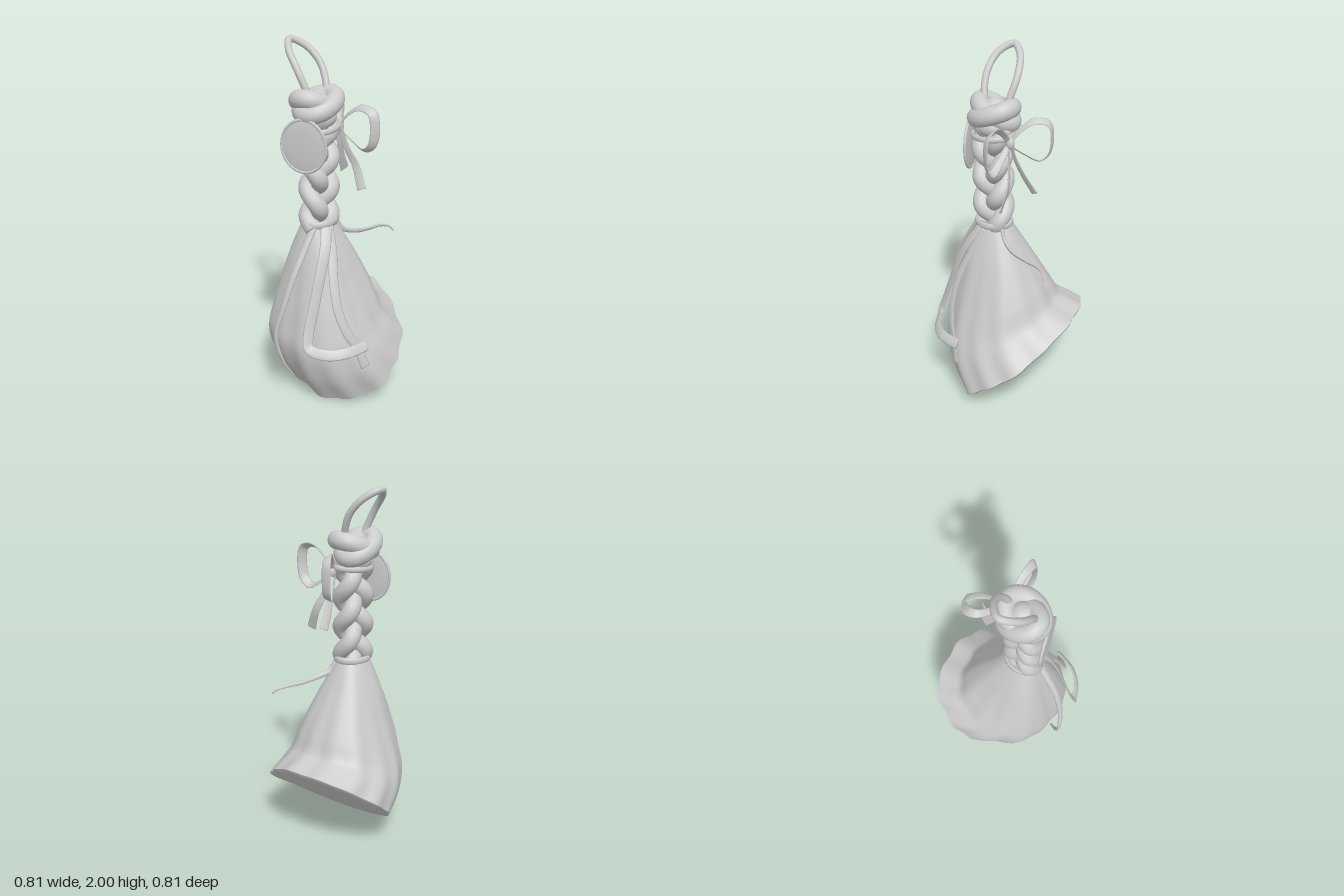
import * as THREE from 'three';

const V = (x, y, z) => new THREE.Vector3(x, y, z);
const pts = (list) => list.map((p) => V(...p));
const material = new THREE.MeshStandardMaterial({ color: 0xcccccc, side: THREE.DoubleSide });

// Skin a list of rings (equal point counts) into a smooth surface.
function skin(rings, loop = false) {
  const n = rings[0].length, m = rings.length, index = [];
  for (let i = 0; i < (loop ? m : m - 1); i++) {
    for (let j = 0; j < n; j++) {
      const k = (j + 1) % n, i2 = (i + 1) % m;
      const a = i * n + j, b = i * n + k, c = i2 * n + j, d = i2 * n + k;
      index.push(a, b, c, b, d, c);
    }
  }
  const geo = new THREE.BufferGeometry().setFromPoints(rings.flat());
  geo.setIndex(index);
  geo.computeVertexNormals();
  return geo;
}

// Sweep an elliptical section along a curve; `up` is the wide axis, optionally turning to `up2`.
function sweep(points, { wide, thick = wide, up = V(0, 0, 1), up2 = up, roll = 0, loop = false, taper = () => 1, steps = 48, sides = 10 }) {
  const curve = new THREE.CatmullRomCurve3(points, loop);
  const rings = [];
  const ring = (t, scale) => {
    const c = curve.getPoint(t), T = curve.getTangent(t);
    const s = up.clone().lerp(up2, THREE.MathUtils.smoothstep(t, 0.45, 0.75));
    s.addScaledVector(T, -s.dot(T)).normalize().applyAxisAngle(T, roll);
    const nrm = T.clone().cross(s);
    return Array.from({ length: sides }, (_, j) => {
      const a = (j / sides) * Math.PI * 2;
      return c.clone().addScaledVector(s, Math.cos(a) * wide * scale).addScaledVector(nrm, Math.sin(a) * thick * scale);
    });
  };
  for (let i = 0; i < (loop ? steps : steps + 1); i++) rings.push(ring(i / steps, taper(i / steps)));
  if (!loop) {
    rings.unshift(ring(0, 0));
    rings.push(ring(1, 0));
  }
  return skin(rings, loop);
}

export function createModel() {
  const model = new THREE.Group();
  const add = (name, geo, parent = model) => {
    const mesh = new THREE.Mesh(geo, material);
    mesh.name = name;
    parent.add(mesh);
    return mesh;
  };
  const group = (name) => {
    const g = new THREE.Group();
    g.name = name;
    model.add(g);
    return g;
  };

  // Skirt sections: left x, left y, right x, right y, half depth
  const sections = [
    [-0.175, 1.03, 0.015, 1.03, 0.075], [-0.22, 0.87, 0.092, 0.885, 0.142], [-0.27, 0.66, 0.165, 0.755, 0.208],
    [-0.31, 0.46, 0.22, 0.65, 0.27], [-0.322, 0.33, 0.265, 0.56, 0.318], [-0.275, 0.17, 0.315, 0.53, 0.367],
    [-0.185, 0.02, 0.4, 0.5, 0.402],
  ];
  const leftEdge = new THREE.CatmullRomCurve3(sections.map((s) => V(s[0], s[1], s[4])));
  const rightEdge = new THREE.CatmullRomCurve3(sections.map((s) => V(s[2], s[3], s[4])));
  const skirtRing = (t, shrink = 1, lift = 0) => {
    const l = leftEdge.getPoint(t), r = rightEdge.getPoint(t), mid = l.clone().add(r).multiplyScalar(0.5);
    return Array.from({ length: 104 }, (_, j) => {
      const a = (j / 104) * Math.PI * 2, diag = Math.sin(2 * a);
      // fuller shoulders, a skewed hem and soft folds
      const full = 0.09 * Math.sin(Math.PI * Math.sqrt(t)) * diag * diag - 0.03 * t * t * diag;
      const fold = 1 + full + t ** 0.8 * (0.02 * Math.cos(13 * a) + 0.013 * Math.sin(7 * a + 1));
      const c = Math.cos(a) * fold * shrink, s = Math.sin(a) * fold * shrink;
      const sag = t * t * (0.07 * s + 0.03 * Math.max(0, diag) * Math.max(0, s));
      return V(mid.x + (r.x - l.x) * 0.5 * c - lift * 0.6, mid.y + (r.y - l.y) * 0.5 * c - sag + lift, s * l.z);
    });
  };
  add('skirt', skin(Array.from({ length: 41 }, (_, i) => skirtRing(i / 40))));
  // Underside, swelling slightly below the hem
  add('skirtUnderside', skin([[1, 0], [0.97, -0.008], [0.9, -0.012], [0.6, -0.016], [0.3, -0.018], [0, -0.018]].map(([s, h]) => skirtRing(1, s, h))));

  // Three-strand braid
  const braid = group('braid');
  for (let k = 0; k < 3; k++) {
    const path = Array.from({ length: 29 }, (_, i) => {
      const t = i / 28, a = t * Math.PI * 2 * 1.3 + (k * Math.PI * 2) / 3 + 0.26;
      return V(-0.083 + 0.068 * Math.sin(a), 1.0 + 0.63 * t, 0.008 + 0.038 * Math.sin(2 * a));
    });
    add('braidStrand', sweep(path, { wide: 0.048, thick: 0.046, up: V(1, 0, 0.2), steps: 80, sides: 14 }), braid);
  }

  // Top knot: a front coil rising to the left, a second crossing behind it, round a core
  const knot = group('topKnot');
  const coil = (name, [x0, y, z0], slopeX, slopeZ, rx, rz, thick) => {
    const path = Array.from({ length: 16 }, (_, i) => {
      const a = (i / 16) * Math.PI * 2, x = Math.cos(a) * rx, z = Math.sin(a) * rz;
      return V(x0 + x, y + slopeX * x + slopeZ * z, z0 + z);
    });
    add(name, sweep(path, { wide: thick, up: V(0, 1, 0), loop: true, steps: 64, sides: 16 }), knot);
  };
  coil('frontCoil', [-0.08, 1.667, 0.002], 0.4, 0, 0.097, 0.08, 0.05);
  coil('crossingCoil', [-0.087, 1.663, -0.025], -0.5, 0.15, 0.09, 0.07, 0.05);
  coil('lowerCoil', [-0.08, 1.595, 0], 0.1, 0.1, 0.05, 0.05, 0.048);
  const core = add('knotCore', new THREE.SphereGeometry(0.07, 24, 16), knot);
  core.position.set(-0.08, 1.675, -0.01);

  // Hanging loop
  add('hangingLoop', sweep(pts([
    [-0.13, 1.68, 0], [-0.155, 1.76, -0.02], [-0.166, 1.86, -0.07], [-0.145, 1.94, -0.14], [-0.08, 1.98, -0.19],
    [-0.012, 1.94, -0.14], [0.016, 1.86, -0.07], [0.005, 1.76, -0.02], [-0.02, 1.68, 0],
  ]), { wide: 0.019, up: V(0, 0.6, 1), steps: 60 }));

  // Flat ties round the braid
  const band = (name, y, rx, rz, tilt, width) => add(name, sweep(
    Array.from({ length: 16 }, (_, i) => {
      const a = (i / 16) * Math.PI * 2;
      return V(-0.08 + rx * Math.cos(a), y + tilt * Math.cos(a), 0.01 + rz * Math.sin(a));
    }), { wide: width, thick: 0.01, up: V(0, 1, 0), loop: true, steps: 64 }));
  band('upperTie', 1.55, 0.115, 0.095, 0.01, 0.016);
  band('neckTie', 1.035, 0.102, 0.083, 0.005, 0.02);

  // Bow on the left side of the braid
  const bow = group('bow');
  const bowLoop = (dx, dz, roll) => {
    const len = Math.hypot(dx, dz), outline = [[0, 0], [0.25, 0.07], [0.6, 0.118], [0.92, 0.1], [1, 0.03], [0.93, -0.07], [0.72, -0.105], [0.35, -0.065], [0, -0.01]];
    const path = outline.map(([u, y]) => V(0.04 + dx * u, 1.535 + y, 0.04 + dz * u));
    add('bowLoop', sweep(path, {
      wide: 0.027, thick: 0.005, up: V(-dz / len, 0, dx / len), roll, taper: (t) => 0.45 + 0.55 * Math.sin(Math.PI * t), steps: 60,
    }), bow);
  };
  bowLoop(0.172, -0.14, 0.45);
  bowLoop(0.01, 0.232, 0.65);
  const tail = (list, up) => add('bowTail', sweep(pts(list), { wide: 0.027, thick: 0.004, up, taper: (t) => 0.5 + 0.5 * t }), bow);
  tail([[0.04, 1.53, 0.05], [0.06, 1.42, 0.075], [0.085, 1.32, 0.12], [0.072, 1.2, 0.175]], V(0.3, 0.2, 1));
  tail([[0.04, 1.53, 0.03], [0.07, 1.43, 0.02], [0.11, 1.34, 0], [0.16, 1.255, -0.02]], V(0.8, 0.5, 0.3));
  const bowKnot = add('bowKnot', new THREE.SphereGeometry(0.028, 16, 12), bow);
  bowKnot.scale.set(0.8, 1.2, 0.8);
  bowKnot.position.set(0.045, 1.535, 0.04);

  // Oval disc with a raised rim on the right side of the braid
  const disc = group('ovalDisc');
  const face = add('discFace', new THREE.SphereGeometry(1, 32, 16), disc);
  face.scale.set(0.125, 0.14, 0.012);
  const rim = add('discRim', new THREE.TorusGeometry(0.123, 0.008, 10, 40), disc);
  rim.scale.set(1, 1.13, 1);
  disc.position.set(-0.215, 1.475, 0.02);
  disc.rotation.y = -1.24;

  // Loose ends trailing from the neck tie
  const ends = group('looseEnds');
  add('leftCurl', sweep(pts([
    [0, 1.02, 0.05], [0.03, 0.965, 0.07], [0.1, 0.935, 0.105], [0.2, 0.922, 0.125], [0.29, 0.92, 0.145], [0.335, 0.905, 0.17], [0.35, 0.88, 0.19],
  ]), { wide: 0.02, thick: 0.012, up: V(0, 1, 0.4), taper: (t) => 1 - 0.8 * t }), ends);
  add('rightCurl', sweep(pts([
    [-0.16, 1.03, 0.04], [-0.23, 0.92, 0.035], [-0.31, 0.78, 0.025], [-0.37, 0.6, 0], [-0.395, 0.43, -0.035], [-0.365, 0.27, -0.015], [-0.31, 0.16, 0.02],
  ]), { wide: 0.022, thick: 0.014, taper: (t) => 1 - 0.75 * t * t }), ends);
  add('outerRibbon', sweep(pts([
    [-0.12, 1.02, 0.09], [-0.175, 0.92, 0.13], [-0.23, 0.8, 0.145], [-0.285, 0.64, 0.15], [-0.34, 0.48, 0.155],
    [-0.355, 0.41, 0.175], [-0.315, 0.388, 0.26], [-0.23, 0.39, 0.33], [-0.1, 0.395, 0.362],
  ]), { wide: 0.03, thick: 0.006, up: V(0.8, 0, 0.5), up2: V(0.3, 1, -0.5), steps: 72 }), ends);
  add('innerRibbon', sweep(pts([
    [-0.1, 1.02, 0.09], [-0.135, 0.9, 0.145], [-0.185, 0.75, 0.2], [-0.205, 0.6, 0.25], [-0.185, 0.48, 0.295], [-0.14, 0.38, 0.335], [-0.11, 0.265, 0.365],
  ]), { wide: 0.026, thick: 0.006, up: V(1, 0, 0.5), steps: 60 }), ends);

  return model;
}
